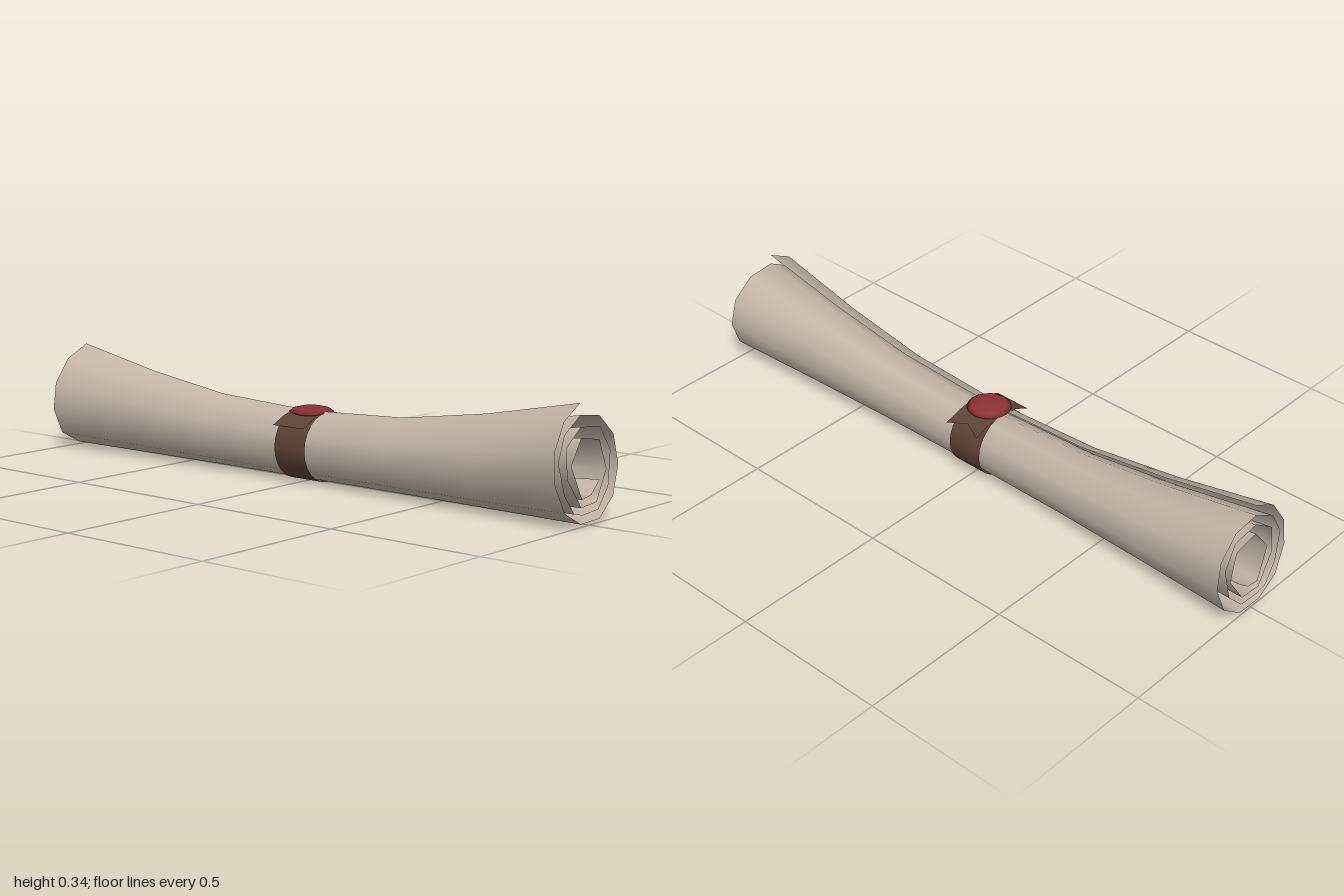
import * as THREE from 'three';

// Cross-section of the rolled sheet at its flared ends, outer flap to inner edge
const SPIRAL = [
  [-0.02, 0.335], [-0.1, 0.293], [-0.15, 0.217], [-0.156, 0.13], [-0.115, 0.047], [-0.04, 0.006],
  [0.05, 0.008], [0.122, 0.06], [0.155, 0.145], [0.137, 0.232], [0.07, 0.292], [-0.02, 0.302],
  [-0.1, 0.257], [-0.135, 0.185], [-0.112, 0.095], [-0.07, 0.038], [-0.03, 0.029], [0.045, 0.034],
  [0.1, 0.09], [0.119, 0.19], [0.072, 0.26], [-0.02, 0.27],
  [-0.095, 0.22], [-0.095, 0.135], [-0.035, 0.05], [0.04, 0.056], [0.095, 0.14], [0.067, 0.225], [-0.02, 0.24],
  [-0.075, 0.17], [-0.03, 0.072], [0.015, 0.079], [0.06, 0.115],
];
// Stations along the scroll: z and scale of the cross-section
const STATIONS = [[-1, 1], [-0.68, 0.81], [-0.37, 0.675], [0, 0.625], [0.37, 0.675], [0.68, 0.81], [1, 1]];

// Smooth double-sided surface through rows of points
function loft(rows) {
  const n = rows[0].length, index = [];
  for (let r = 0; r < rows.length - 1; r++) {
    for (let i = 0; i < n - 1; i++) {
      const a = r * n + i, b = a + n;
      index.push(a, a + 1, b, a + 1, b + 1, b);
    }
  }
  const g = new THREE.BufferGeometry();
  g.setAttribute('position', new THREE.Float32BufferAttribute(rows.flat(2), 3));
  g.setIndex(index);
  g.computeVertexNormals();
  return g;
}

export function createModel() {
  const group = new THREE.Group();
  const material = (name, color) => {
    const m = new THREE.MeshStandardMaterial({ color, side: THREE.DoubleSide });
    m.name = name;
    return m;
  };
  const paper = material('paper', 0xc2b4a6);
  const leather = material('brown ribbon', 0x5c4336);
  const wax = material('red wax', 0x8c2f35);
  const add = (name, geometry, mat) => {
    const mesh = new THREE.Mesh(geometry, mat);
    mesh.name = name;
    group.add(mesh);
    return mesh;
  };

  // Rolled sheet, pinched in the middle, its ends leaning in slightly at the top
  const rows = STATIONS.map(([z, s]) =>
    SPIRAL.map(([x, y]) => [x * s, 0.008 + (y - 0.006) * s, z * (1 - 0.075 * y)]));
  add('rolledSheet', loft(rows), paper);

  // Ribbon around the waist
  const band = new THREE.CylinderGeometry(0.106, 0.106, 0.12, 24, 1, true);
  band.rotateX(Math.PI / 2);
  add('ribbonBand', band, leather).position.y = 0.106;

  // Loose ribbon end over the top, with a swallowtail cut on the left
  const path = [[-0.112, 0.175], [-0.06, 0.2], [0, 0.214], [0.06, 0.204], [0.088, 0.195]];
  const strip = [-0.06, 0, 0.06].map((z) => path.map(([x, y]) => [x, y, z]));
  [0, 2].forEach((r) => strip[r].push([0.117, 0.185, r ? 0.062 : -0.062]));
  strip[1].push([0.09, 0.194, 0]);
  add('ribbonTail', loft(strip), leather);

  // Domed wax seal
  const profile = [[0, 0.204], [0.055, 0.204], [0.068, 0.211], [0.055, 0.22], [0.03, 0.226], [0, 0.228]];
  const seal = new THREE.LatheGeometry(profile.map(([x, y]) => new THREE.Vector2(x, y)), 20);
  add('waxSeal', seal, wax).position.x = -0.005;

  return group;
}
